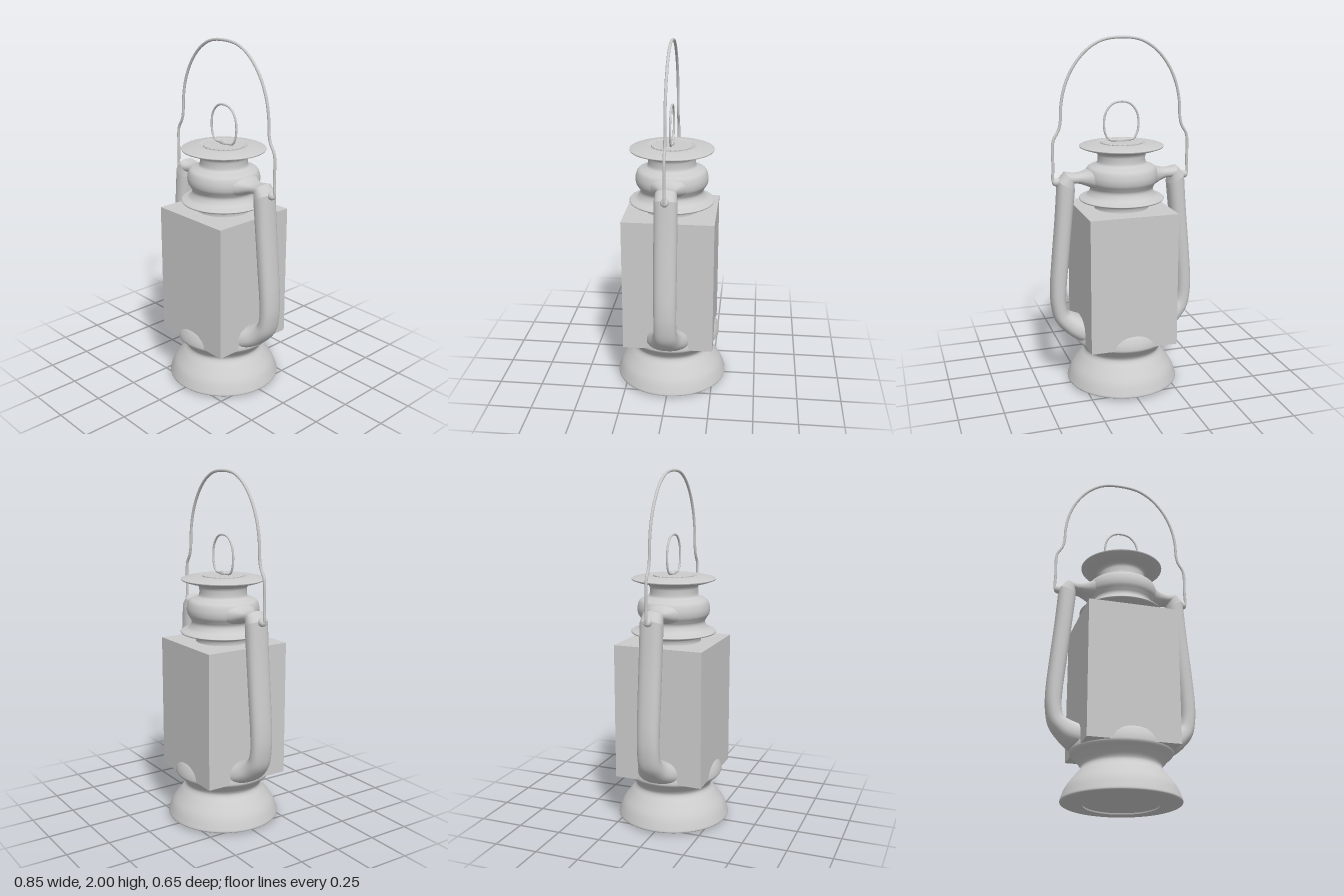
import * as THREE from 'three';

const grey = new THREE.MeshStandardMaterial({ color: 0xcccccc, side: THREE.DoubleSide });

function add(parent, name, geometry) {
  const mesh = new THREE.Mesh(geometry, grey);
  mesh.name = name;
  parent.add(mesh);
  return mesh;
}

// Turned part: each section is a smooth curve of [radius, y]; creases fall between sections
function turned(parent, name, sections) {
  const group = new THREE.Group();
  group.name = name;
  sections.forEach((pts, i) => {
    const curve = new THREE.SplineCurve(pts.map(([r, y]) => new THREE.Vector2(r, y)));
    const profile = pts.length > 2 ? curve.getPoints(pts.length * 5) : curve.points;
    add(group, `${name}Section${i + 1}`, new THREE.LatheGeometry(profile, 72));
  });
  parent.add(group);
}

// Flattened tube: stations are [outer x, outer y, inner x, inner y, half depth in z]
function flatTube(stations, sides = 32) {
  const a = new THREE.CatmullRomCurve3(stations.map(s => new THREE.Vector3(s[0], s[1], s[4])), false, 'centripetal');
  const b = new THREE.CatmullRomCurve3(stations.map(s => new THREE.Vector3(s[2], s[3], s[4])), false, 'centripetal');
  const steps = (stations.length - 1) * 6;
  const pos = [], index = [];
  const round = v => Math.sign(v) * Math.abs(v) ** 0.85;
  for (let i = 0; i <= steps; i++) {
    const p = a.getPoint(i / steps), q = b.getPoint(i / steps);
    for (let j = 0; j < sides; j++) {
      const t = j / sides * Math.PI * 2;
      const c = round(Math.cos(t)) / 2, s = round(Math.sin(t));
      pos.push((p.x + q.x) / 2 + (p.x - q.x) * c, (p.y + q.y) / 2 + (p.y - q.y) * c, p.z * s);
      if (i < steps) {
        const k = i * sides + j, n = i * sides + (j + 1) % sides;
        index.push(k, n, k + sides, n, n + sides, k + sides);
      }
    }
  }
  const g = new THREE.BufferGeometry();
  g.setAttribute('position', new THREE.Float32BufferAttribute(pos, 3));
  g.setIndex(index);
  g.computeVertexNormals();
  return g;
}

// Wire symmetric in x, given its right half from the foot to the crown
function wire(half, radius) {
  const left = half.slice(0, -1).reverse().map(([x, y]) => [-x, y]);
  const pts = [...half, ...left].map(([x, y]) => new THREE.Vector3(x, y, 0));
  return new THREE.TubeGeometry(new THREE.CatmullRomCurve3(pts, false, 'centripetal'), 120, radius, 10);
}

export function createModel() {
  const lantern = new THREE.Group();
  lantern.name = 'lantern';

  // Flared foot and fuel tank
  turned(lantern, 'base', [
    [[0, 0.008], [0.2, 0.008]],
    [[0.2, 0], [0.31, 0.008]],
    [[0.31, 0.008], [0.322, 0.015], [0.318, 0.035], [0.295, 0.09], [0.25, 0.15], [0.222, 0.185],
      [0.222, 0.21], [0.25, 0.245], [0.276, 0.27], [0.28, 0.29], [0.272, 0.325], [0.252, 0.36],
      [0.2, 0.395], [0.14, 0.41], [0, 0.415]],
  ]);

  // Square glass housing
  add(lantern, 'glassHousing', new THREE.BoxGeometry(0.504, 0.77, 0.512)).position.y = 0.665;

  // Collar, air chamber and chimney
  turned(lantern, 'chimney', [
    [[0.155, 1.04], [0.155, 1.065], [0.17, 1.083], [0.237, 1.098]],
    [[0.237, 1.098], [0.241, 1.104], [0.236, 1.11]],
    [[0.236, 1.11], [0.2, 1.123], [0.182, 1.145], [0.178, 1.165], [0.188, 1.185], [0.202, 1.21],
      [0.204, 1.245], [0.19, 1.282], [0.155, 1.298], [0.136, 1.312], [0.134, 1.35], [0.14, 1.365]],
  ]);

  // Broad shallow cap
  turned(lantern, 'cap', [
    [[0.135, 1.36], [0.15, 1.373], [0.2, 1.385], [0.234, 1.397]],
    [[0.234, 1.397], [0.236, 1.403], [0.23, 1.406]],
    [[0.23, 1.406], [0.19, 1.415], [0.14, 1.422], [0.12, 1.417], [0.1, 1.416], [0, 1.416]],
  ]);

  // Toothed crown set into the cap
  const crown = new THREE.Shape();
  const teeth = 24;
  for (let i = 0; i < teeth * 4; i++) {
    const r = 0.105 + [0, 0.007, 0.008, 0.007][i % 4];
    const t = i / (teeth * 4) * Math.PI * 2;
    crown[i ? 'lineTo' : 'moveTo'](r * Math.cos(t), r * Math.sin(t));
  }
  crown.closePath();
  const crownMesh = add(lantern, 'crown', new THREE.ExtrudeGeometry(crown, {
    depth: 0.015, bevelSize: 0.003, bevelThickness: 0.003, bevelSegments: 2,
  }));
  crownMesh.rotation.x = -Math.PI / 2;
  crownMesh.position.y = 1.407;

  // Lifting ring with its clip
  add(lantern, 'liftingRing', wire([[0, 1.432], [0.04, 1.432], [0.07, 1.437], [0.092, 1.47], [0.1, 1.53],
    [0.088, 1.59], [0.05, 1.634], [0, 1.646]], 0.006));
  const clip = add(lantern, 'ringClip', new THREE.SphereGeometry(1, 20, 12));
  clip.scale.set(0.034, 0.016, 0.013);
  clip.position.y = 1.43;

  // Side tubes: branch from the air chamber, mitred elbow, then down into the tank
  const elbow = [0.328, 1.27, 0.278, 1.205, 0.058];
  for (const side of [1, -1]) {
    const frame = new THREE.Group();
    frame.name = side > 0 ? 'leftSideTube' : 'rightSideTube';
    frame.rotation.y = side > 0 ? 0 : Math.PI;
    add(frame, 'branch', flatTube([
      [0.1, 1.3, 0.1, 1.165, 0.15], [0.17, 1.285, 0.17, 1.172, 0.105],
      [0.22, 1.268, 0.215, 1.19, 0.07], [0.27, 1.262, 0.25, 1.202, 0.054], elbow,
    ]));
    add(frame, 'elbow', flatTube([elbow, [0.37, 1.222, 0.274, 1.17, 0.064]]));
    add(frame, 'downTube', flatTube([
      [0.37, 1.222, 0.274, 1.17, 0.064], [0.387, 1, 0.292, 1, 0.064], [0.408, 0.78, 0.314, 0.78, 0.064],
      [0.422, 0.6, 0.332, 0.6, 0.063], [0.42, 0.5, 0.334, 0.5, 0.063], [0.4, 0.405, 0.32, 0.455, 0.066],
      [0.35, 0.338, 0.285, 0.435, 0.08], [0.29, 0.29, 0.245, 0.415, 0.11], [0.22, 0.26, 0.2, 0.4, 0.14],
    ]));
    // Ear holding the foot of the bail
    const ear = add(frame, 'bailEar', new THREE.CapsuleGeometry(0.022, 0.03, 6, 16));
    ear.rotation.z = Math.PI / 2;
    ear.position.set(0.362, 1.215, 0);
    lantern.add(frame);
  }

  // Carrying bail
  add(lantern, 'bail', wire([[0.375, 1.2], [0.392, 1.215], [0.392, 1.3], [0.392, 1.42], [0.385, 1.455], [0.358, 1.5],
    [0.346, 1.55], [0.342, 1.63], [0.322, 1.73], [0.275, 1.835], [0.2, 1.925], [0.11, 1.978], [0, 1.992]], 0.008));

  return lantern;
}
